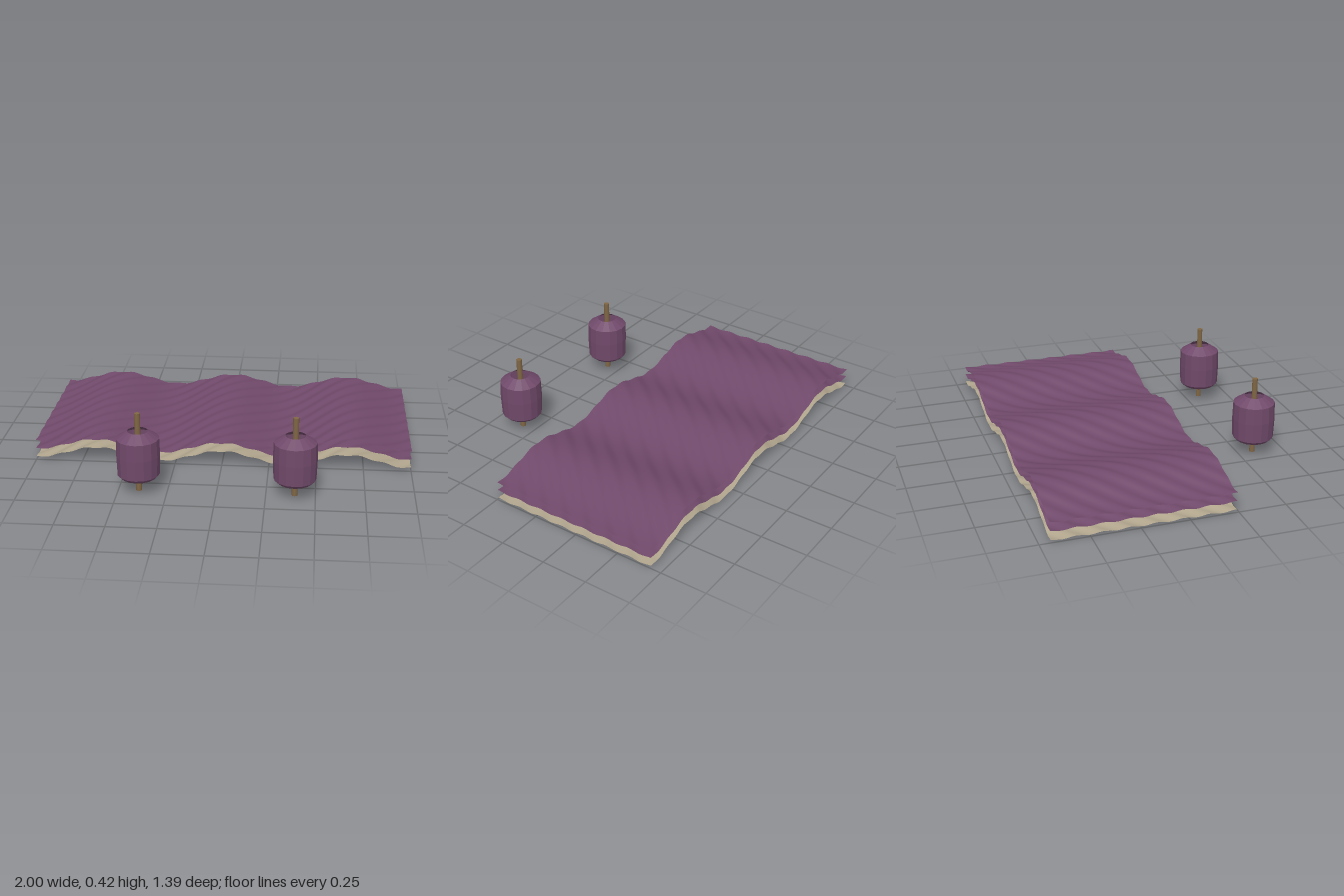
import * as THREE from 'three';

function material(name, color, options = {}) {
  const m = new THREE.MeshStandardMaterial({ color, ...options });
  m.name = name;
  return m;
}

// Thin rippled sheet: broad swell across x plus a fine diagonal ripple
function makeSheet(name, height, mat) {
  const geo = new THREE.PlaneGeometry(2, 0.935, 160, 75);
  geo.rotateX(-Math.PI / 2);
  geo.translate(0, 0, -0.227);
  const pos = geo.attributes.position;
  for (let i = 0; i < pos.count; i++) {
    const x = pos.getX(i), z = pos.getZ(i);
    pos.setY(i, height + 0.032 * Math.cos(3 * Math.PI * x) + 0.004 * Math.sin(47 * (x + z)));
  }
  geo.computeVertexNormals();
  const mesh = new THREE.Mesh(geo, mat);
  mesh.name = name;
  return mesh;
}

// Open-ended faceted lantern threaded on a rod
function makeLantern(name, x, shadeMat, rodMat) {
  const lantern = new THREE.Group();
  lantern.name = name;
  const profile = [[0.09, 0.077], [0.108, 0.095], [0.112, 0.2], [0.109, 0.288], [0.052, 0.326]]
    .map(([r, y]) => new THREE.Vector2(r, y));
  const shade = new THREE.Mesh(new THREE.LatheGeometry(profile, 16), shadeMat);
  shade.name = 'lanternShade';
  const rod = new THREE.Mesh(new THREE.CylinderGeometry(0.015, 0.015, 0.42, 8), rodMat);
  rod.name = 'lanternRod';
  rod.position.y = 0.21;
  lantern.add(shade, rod);
  lantern.position.set(x, 0, 0.583);
  return lantern;
}

export function createModel() {
  const cloth = material('plumCloth', 0x70496a, { side: THREE.DoubleSide });
  const lining = material('paleLining', 0xb0a48c, { side: THREE.DoubleSide });
  const paper = material('plumPaper', 0x70496a, { side: THREE.DoubleSide, flatShading: true });
  const wood = material('brownWood', 0x806645);

  const model = new THREE.Group();
  model.name = 'layeredCanopy';
  model.add(
    makeSheet('bottomSheet', 0.045, lining),
    makeSheet('middleSheet', 0.092, cloth),
    makeSheet('topSheet', 0.138, cloth),
    makeLantern('leftLantern', 0.395, paper, wood),
    makeLantern('rightLantern', -0.395, paper, wood)
  );
  return model;
}
